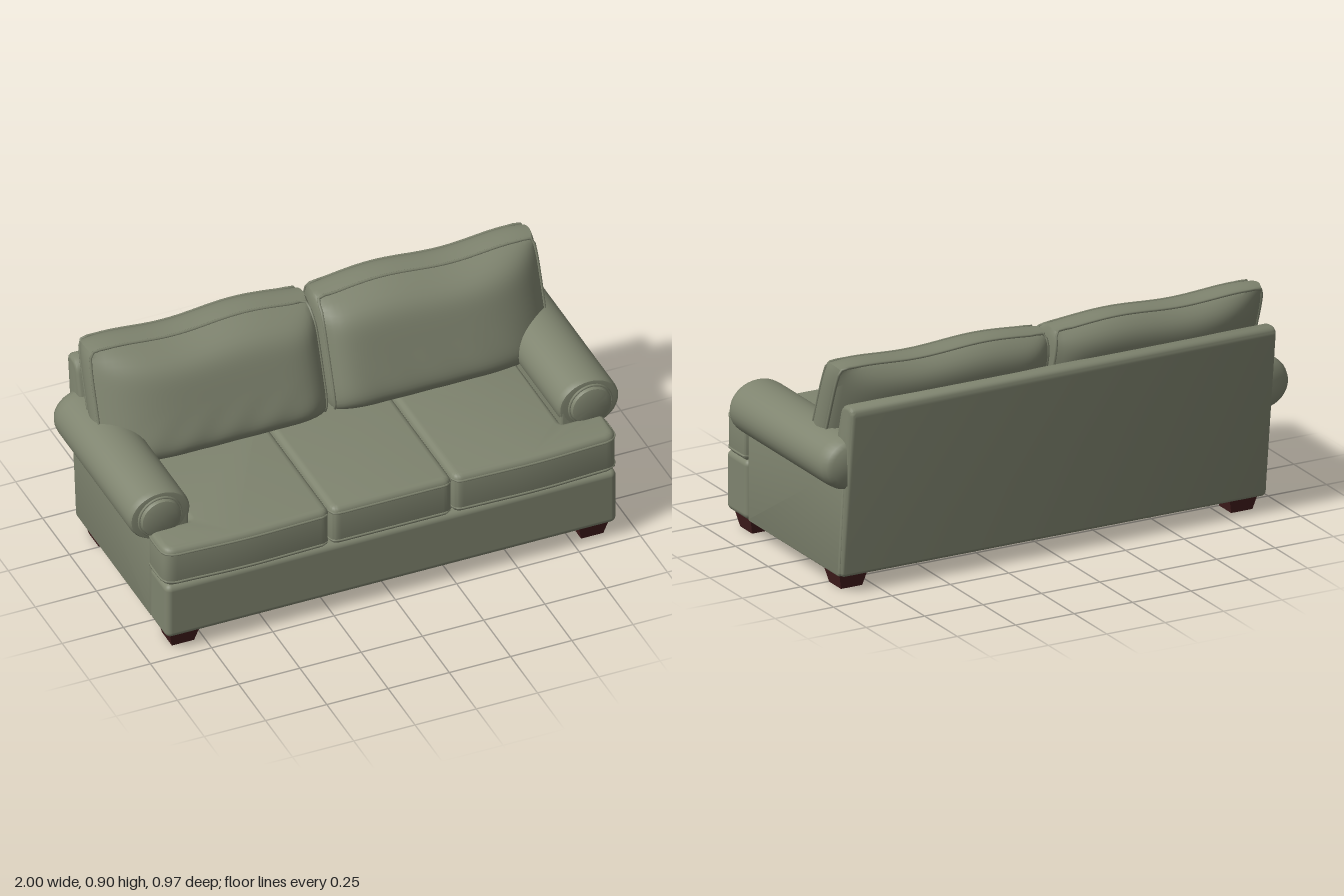
import * as THREE from 'three';
import { toCreasedNormals } from 'three/addons/utils/BufferGeometryUtils.js';
import { RoundedBoxGeometry } from 'three/addons/geometries/RoundedBoxGeometry.js';

const fabric = new THREE.MeshStandardMaterial({ color: 0x7f846f });
fabric.name = 'sage upholstery';
const wood = new THREE.MeshStandardMaterial({ color: 0x431e1e });
wood.name = 'dark wood';

const V = (x, y, z) => new THREE.Vector3(x, y, z);

function add(group, name, geometry, material = fabric) {
  const mesh = new THREE.Mesh(geometry, material);
  mesh.name = name;
  group.add(mesh);
  return mesh;
}

// Soft-edged extrusion whose outer outline is exactly the given shape
function softExtrude(shape, depth, bevel) {
  return new THREE.ExtrudeGeometry(shape, {
    depth: depth - 2 * bevel, bevelThickness: bevel, bevelSize: bevel,
    bevelOffset: -bevel, bevelSegments: 4, curveSegments: 8,
  }).translate(0, 0, bevel);
}

// Polygon with rounded corners; each corner is [x, y, radius]
function roundedShape(corners) {
  const shape = new THREE.Shape();
  const n = corners.length;
  corners.forEach(([x, y, r], i) => {
    const p = new THREE.Vector2(x, y);
    const toward = (q) => new THREE.Vector2(q[0], q[1]).sub(p).setLength(r).add(p);
    const a = toward(corners[(i + n - 1) % n]);
    const b = toward(corners[(i + 1) % n]);
    if (i === 0) shape.moveTo(a.x, a.y); else shape.lineTo(a.x, a.y);
    shape.quadraticCurveTo(x, y, b.x, b.y);
  });
  shape.closePath();
  return shape;
}

// Side profile (z, y) swept across x from x0 to x1
function sweepX(corners, x0, x1, bevel) {
  const g = softExtrude(roundedShape(corners), x1 - x0, bevel);
  g.rotateY(-Math.PI / 2).translate(x1, 0, 0);
  return toCreasedNormals(g, 0.6);
}

// Thin piping that follows a closed loop of points
function piping(points, radius = 0.005) {
  const curve = new THREE.CatmullRomCurve3(points, true, 'centripetal');
  return new THREE.TubeGeometry(curve, points.length * 2, radius, 6, true);
}

// Turned form along z; profile is [radius, z] from back to front
function turnedZ(profile, rx, ry, x, y) {
  const pts = profile.map(([r, z]) => new THREE.Vector2(r, z));
  const g = new THREE.LatheGeometry(pts, 36).rotateX(Math.PI / 2).scale(rx, ry, 1);
  return toCreasedNormals(g.translate(x, y, 0), 0.7);
}

function seatCushion(group, name, corners) {
  const part = new THREE.Group();
  part.name = name;
  const shape = roundedShape(corners);
  const g = softExtrude(shape, 0.172, 0.026).rotateX(Math.PI / 2).translate(0, 0.472, 0);
  add(part, 'seatPad', toCreasedNormals(g, 0.6));
  const outline = shape.getSpacedPoints(60).slice(0, -1);
  for (const y of [0.448, 0.322]) {
    add(part, 'seatPiping', piping(outline.map((p) => V(p.x, y, p.y))));
  }
  group.add(part);
}

// Point on a puffed back pillow: u runs outward, v upward, w back to front
function pillowPoint(u, v, w, side) {
  const puffU = u > 0 ? 1 - u ** 4 : 1 - 0.55 * u ** 10;
  const puff = w > 0 ? 0.112 * (1 - v ** 6) : 0.1 * (1 - v ** 4);
  const half = 0.05 + puff * puffU;
  const band = 0.012 * (1 - w * w);
  const edge = Math.max(Math.abs(u), Math.abs(v));
  const round = 1 - 0.025 * (u * v) ** 6;
  const x = 0.463 + u * round * (0.447 + band);
  const top = 0.008 * Math.cos(u * 5 + 2) + band;
  const y = 0.665 + v * round * 0.218 + Math.max(v, 0) * top;
  const wrinkle = 0.003 * Math.sin(u * 17 + v * 6) * (1 - edge ** 2) * Math.max(0, -v);
  const z = -0.247 - (y - 0.66) * 0.36 + w * half + wrinkle;
  return V(x * side, y, z);
}

function backCushion(group, side) {
  const part = new THREE.Group();
  part.name = side > 0 ? 'leftBackCushion' : 'rightBackCushion';
  const g = new THREE.BoxGeometry(2, 2, 2, 36, 28, 6);
  const pos = g.attributes.position;
  for (let i = 0; i < pos.count; i++) {
    // flipping u as well as x keeps the faces pointing outward
    const p = pillowPoint(pos.getX(i) * side, pos.getY(i), pos.getZ(i), side);
    pos.setXYZ(i, p.x, p.y, p.z);
  }
  add(part, 'backPillow', toCreasedNormals(g, 0.6));
  for (const w of [-1, 1]) {
    const loop = [];
    for (const [ax, ay, dx, dy] of [[-1, -1, 1, 0], [1, -1, 0, 1], [1, 1, -1, 0], [-1, 1, 0, -1]]) {
      for (let i = 0; i < 12; i++) {
        loop.push(pillowPoint(ax + dx * i / 6, ay + dy * i / 6, w, side));
      }
    }
    add(part, 'pillowPiping', piping(loop, 0.006));
  }
  group.add(part);
}

function arm(group, side) {
  const part = new THREE.Group();
  part.name = side > 0 ? 'leftArm' : 'rightArm';
  // Upright side panel
  const [a, b] = [0.76, 0.915].map((x) => x * side).sort((p, q) => p - q);
  add(part, 'sidePanel', sweepX(
    [[0.31, 0.065, 0.01], [0.31, 0.52, 0.01], [-0.43, 0.52, 0.01], [-0.39, 0.065, 0.02]], a, b, 0.01));
  // Rolled top
  add(part, 'armRoll', turnedZ([
    [0, -0.445], [0.75, -0.44], [0.9, -0.425], [0.98, -0.4], [1, -0.37],
    [1, 0.28], [0.985, 0.298], [0.94, 0.308], [0.85, 0.31], [0, 0.31],
  ], 0.125, 0.108, 0.875 * side, 0.522));
  // Round padded front with a piped edge
  add(part, 'armFront', turnedZ([
    [0.082, 0.29], [0.084, 0.315], [0.078, 0.329], [0.06, 0.335], [0, 0.337],
  ], 1, 1, 0.878 * side, 0.52));
  const ring = new THREE.TorusGeometry(0.085, 0.006, 8, 36);
  add(part, 'armPiping', ring.translate(0.878 * side, 0.52, 0.312));
  group.add(part);
}

export function createModel() {
  const sofa = new THREE.Group();
  sofa.name = 'sofa';

  // Base: front rail, inner deck and sagging dust cover
  const rail = new RoundedBoxGeometry(1.84, 0.24, 0.165, 4, 0.025);
  add(sofa, 'frontRail', rail.translate(0, 0.185, 0.387));
  add(sofa, 'seatDeck', new THREE.BoxGeometry(1.78, 0.24, 0.72).translate(0, 0.19, -0.03));
  const cover = new THREE.PlaneGeometry(1.74, 0.68, 24, 10).rotateX(Math.PI / 2);
  const cp = cover.attributes.position;
  for (let i = 0; i < cp.count; i++) {
    const sag = (1 - (cp.getX(i) / 0.87) ** 2) * (1 - (cp.getZ(i) / 0.34) ** 2);
    cp.setY(i, 0.067 - 0.011 * sag);
  }
  cover.computeVertexNormals();
  add(sofa, 'dustCover', cover.translate(0, 0, -0.04));

  // Leaning back frame
  add(sofa, 'backFrame', sweepX([
    [-0.25, 0.065, 0.01], [-0.34, 0.56, 0.05], [-0.395, 0.765, 0.05],
    [-0.486, 0.765, 0.04], [-0.403, 0.065, 0.02],
  ], -0.91, 0.91, 0.018));

  // Seat cushions: one straight, two wrapping around the arm fronts
  seatCushion(sofa, 'middleSeatCushion', [
    [-0.248, -0.2, 0.02], [0.248, -0.2, 0.02], [0.248, 0.474, 0.04], [-0.248, 0.474, 0.04]]);
  for (const s of [-1, 1]) {
    seatCushion(sofa, s > 0 ? 'leftSeatCushion' : 'rightSeatCushion', [
      [0.252 * s, -0.2, 0.02], [0.76 * s, -0.2, 0.02], [0.76 * s, 0.312, 0.015],
      [0.925 * s, 0.312, 0.02], [0.925 * s, 0.465, 0.05], [0.6 * s, 0.482, 0.1],
      [0.252 * s, 0.472, 0.04]]);
    backCushion(sofa, s);
    arm(sofa, s);

    // Tapered square feet
    for (const [z, name] of [[0.382, 'frontFoot'], [-0.298, 'backFoot']]) {
      const foot = new THREE.CylinderGeometry(0.092, 0.064, 0.08, 4).toNonIndexed();
      foot.rotateY(Math.PI / 4).computeVertexNormals();
      add(sofa, name, foot.translate(0.835 * s, 0.04, z), wood);
    }
  }
  return sofa;
}
